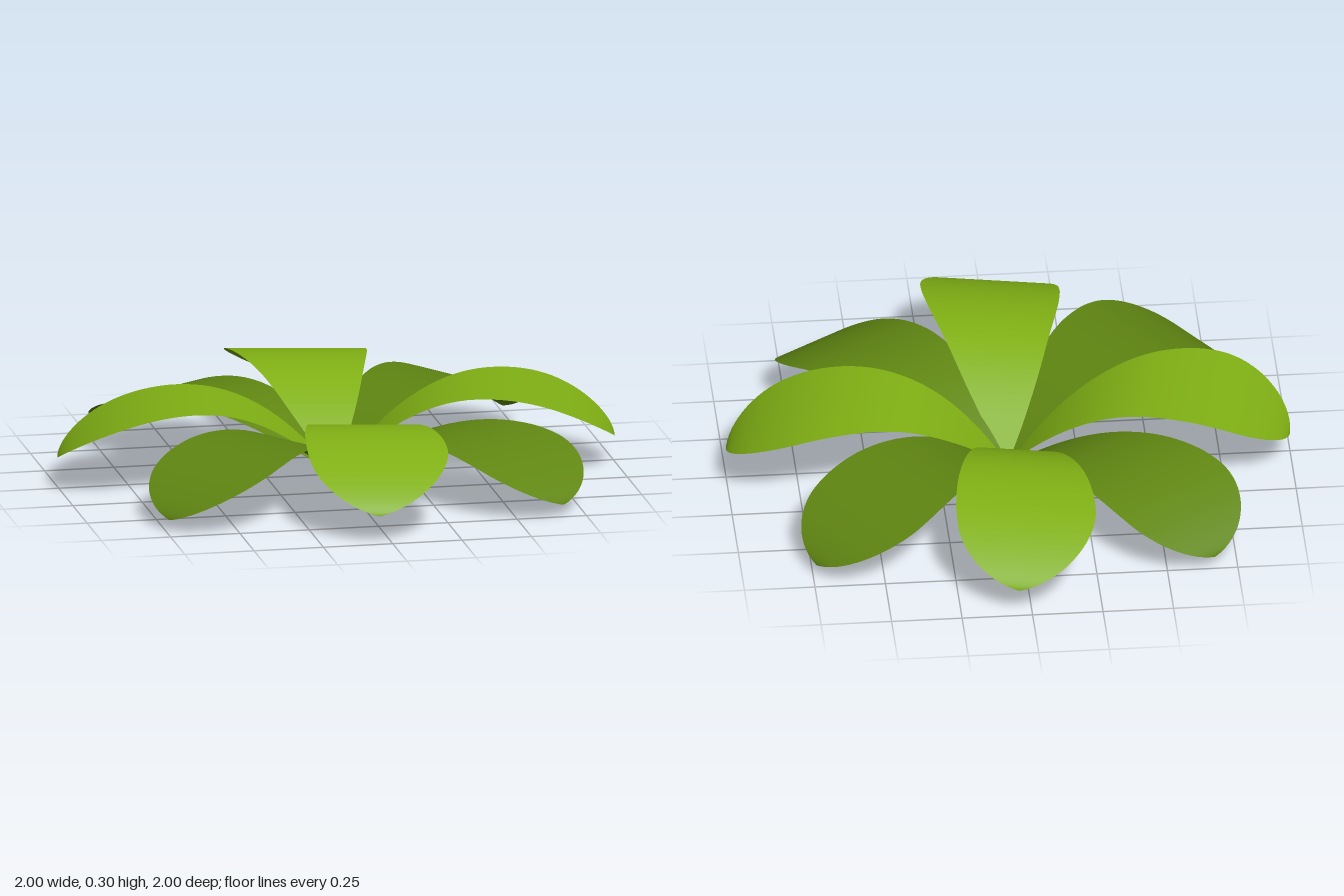
import * as THREE from 'three';

const TIP = 0.245; // radius of the rounded petal end
const SKEW = THREE.MathUtils.degToRad(11); // the bend runs slightly across the petal

// Petal outline: [distance from centre, half width] per row
function outlineRows() {
  const side = new THREE.SplineCurve([
    [0, 0], [0.1, 0.066], [0.235, 0.13], [0.4, 0.185], [0.55, 0.224], [0.68, 0.243], [0.755, TIP],
  ].map(([r, w]) => new THREE.Vector2(r, w)));
  const rows = side.getPoints(28).map((p) => [p.x, p.y]);
  for (let i = 1; i <= 16; i++) {
    const a = (i / 16) * Math.PI / 2;
    rows.push([0.755 + TIP * Math.sin(a), TIP * Math.cos(a)]);
  }
  return rows;
}

// Arched height along the bend: rises to a peak, then drops ever more steeply to the tip
function archHeight(u, { peak, peakAt, tipY }) {
  if (u < peakAt) return peak * (1 - Math.pow(1 - Math.max(u, 0) / peakAt, 2.1));
  const end = 0.755 * Math.cos(SKEW) + TIP;
  const k = Math.min((u - peakAt) / (end - peakAt), 1);
  const drop = 0.55 * k * k + 0.45 * (1 - Math.sqrt(1 - k * k));
  return peak - (peak - tipY) * drop;
}

function petalGeometry(arch) {
  const rows = outlineRows();
  const cols = 16;
  const positions = [];
  const index = [];
  rows.forEach(([r, w], i) => {
    for (let j = 0; j <= cols; j++) {
      const x = w * Math.sin((j / cols - 0.5) * Math.PI);
      const u = r * Math.cos(SKEW) - x * Math.sin(SKEW);
      positions.push(x, archHeight(u, arch), r);
      if (i > 0 && j > 0) {
        const d = i * (cols + 1) + j, c = d - 1, b = d - cols - 1, a = b - 1;
        if (i > 1) index.push(a, d, b);
        if (i < rows.length - 1) index.push(a, c, d);
      }
    }
  });
  const geometry = new THREE.BufferGeometry();
  geometry.setAttribute('position', new THREE.Float32BufferAttribute(positions, 3));
  geometry.setIndex(index);
  geometry.computeVertexNormals();
  return geometry;
}

// Four equal petals around the centre
function petalRing(name, color, startAngle, arch) {
  const ring = new THREE.Group();
  ring.name = name + 's';
  const geometry = petalGeometry(arch);
  const material = new THREE.MeshStandardMaterial({ color, side: THREE.DoubleSide });
  for (let i = 0; i < 4; i++) {
    const petal = new THREE.Mesh(geometry, material);
    petal.name = name;
    petal.rotation.y = startAngle + i * Math.PI / 2;
    ring.add(petal);
  }
  return ring;
}

export function createModel() {
  const model = new THREE.Group();
  model.name = 'leafRosette';
  model.add(
    petalRing('upperLeaf', 0x80b014, 0, { peak: 0.3, peakAt: 0.53, tipY: 0.1 }),
    petalRing('lowerLeaf', 0x608612, Math.PI / 4, { peak: 0.23, peakAt: 0.53, tipY: 0.04 }),
  );
  return model;
}
